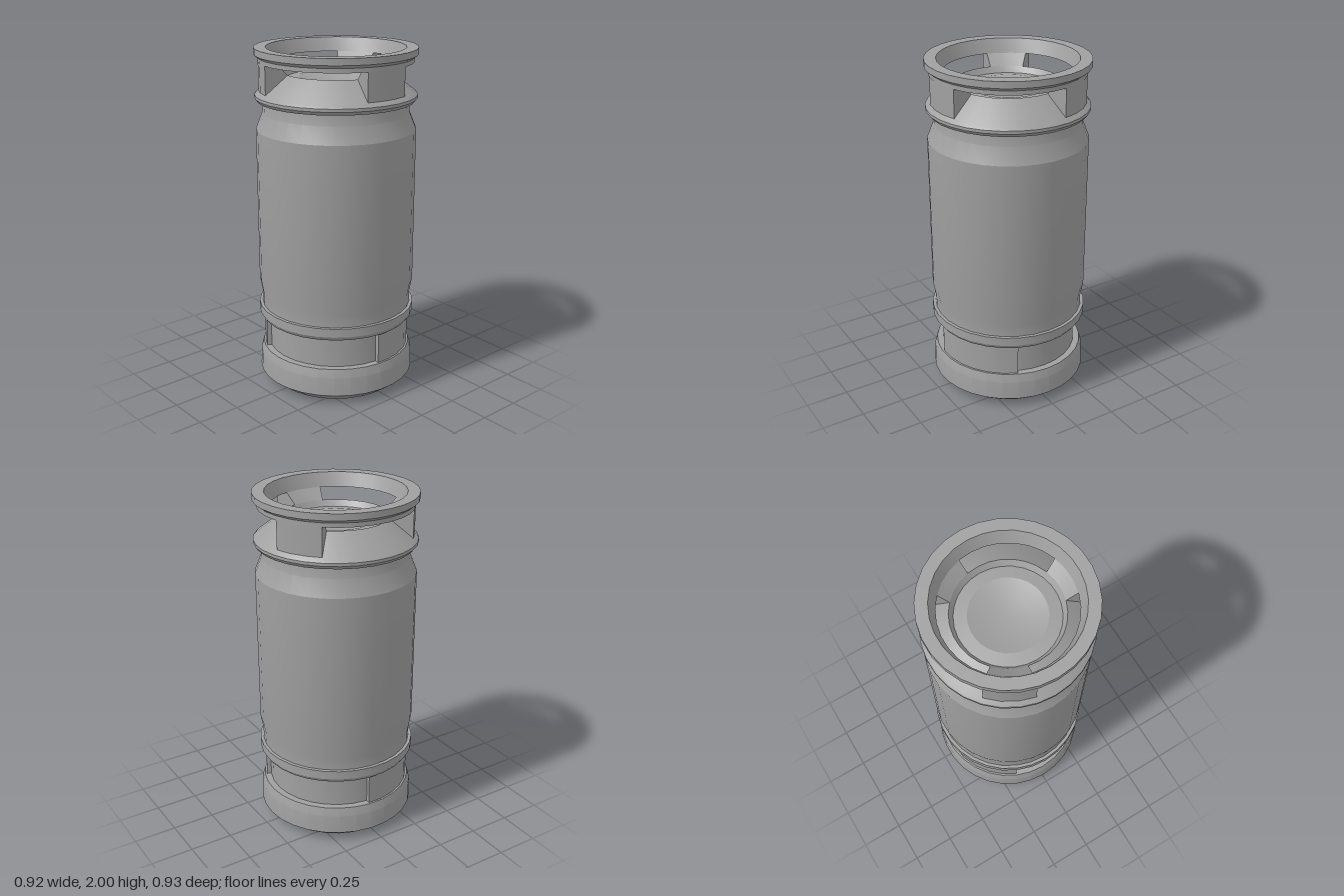
import * as THREE from 'three';
import { toCreasedNormals } from 'three/addons/utils/BufferGeometryUtils.js';

const SIDES = 30;
const STEP = (Math.PI * 2) / SIDES;

const steel = new THREE.MeshStandardMaterial({ color: 0xa0a0a0, side: THREE.DoubleSide });
steel.name = 'brushed steel';

// Revolve a profile of [radius, height] points over a number of 12 degree steps
function revolve(name, profile, first = 0, count = SIDES) {
  const points = profile.map(([r, y]) => new THREE.Vector2(r, y));
  const lathe = new THREE.LatheGeometry(points, count, first * STEP, count * STEP);
  const mesh = new THREE.Mesh(toCreasedNormals(lathe, 0.3), steel);
  mesh.name = name;
  return mesh;
}

// Part of a ring with flat ends
function sector(name, profile, first, count) {
  const group = new THREE.Group();
  group.name = name;
  group.add(revolve(name + 'Wall', [...profile, profile[0]], first, count));
  const shape = new THREE.Shape(profile.map(([r, y]) => new THREE.Vector2(r, y)));
  for (const step of [first, first + count]) {
    const end = new THREE.Mesh(new THREE.ShapeGeometry(shape), steel);
    end.rotation.y = step * STEP - Math.PI / 2;
    end.name = name + 'End';
    group.add(end);
  }
  return group;
}

export function createModel() {
  const model = new THREE.Group();
  model.name = 'keg';

  // Foot with a bevelled base, up to the recessed band
  model.add(revolve('foot', [
    [0, 0], [0.385, 0], [0.462, 0.06], [0.458, 0.17], [0.443, 0.22], [0.405, 0.22],
  ]));
  model.add(revolve('recessedBand', [[0.405, 0.22], [0.405, 0.405]]));

  // Two raised panels separate the two long recesses of the band
  for (const first of [7, 22]) {
    model.add(sector('bandPanel', [[0.4, 0.22], [0.432, 0.22], [0.432, 0.405], [0.4, 0.405]], first, 6));
  }

  // Lower hoop
  model.add(revolve('lowerHoop', [
    [0.405, 0.405], [0.445, 0.405], [0.462, 0.43], [0.462, 0.482], [0.443, 0.482],
  ]));

  // Barrel
  model.add(revolve('barrel', [
    [0.443, 0.482], [0.443, 0.55], [0.458, 0.635], [0.458, 1.54], [0.42, 1.635], [0.414, 1.7],
  ]));

  // Shoulder rim, cone and dished head
  model.add(revolve('shoulder', [
    [0.414, 1.7], [0.447, 1.7], [0.463, 1.72], [0.463, 1.737], [0.45, 1.75], [0.302, 1.86],
  ]));
  model.add(revolve('head', [
    [0.302, 1.86], [0.28, 1.825], [0.21, 1.835], [0.125, 1.81], [0, 1.8],
  ]));

  // Three posts carry the top ring and leave three grip openings
  const post = [[0.302, 1.86], [0.438, 1.755], [0.438, 1.92], [0.363, 1.92]];
  for (const first of [6, 16, 26]) model.add(sector('handlePost', post, first, 3));

  // Top ring
  model.add(revolve('topRing', [
    [0.363, 1.92], [0.44, 1.92], [0.44, 1.945], [0.463, 1.963], [0.463, 2], [0.395, 2], [0.363, 1.92],
  ]));

  return model;
}
